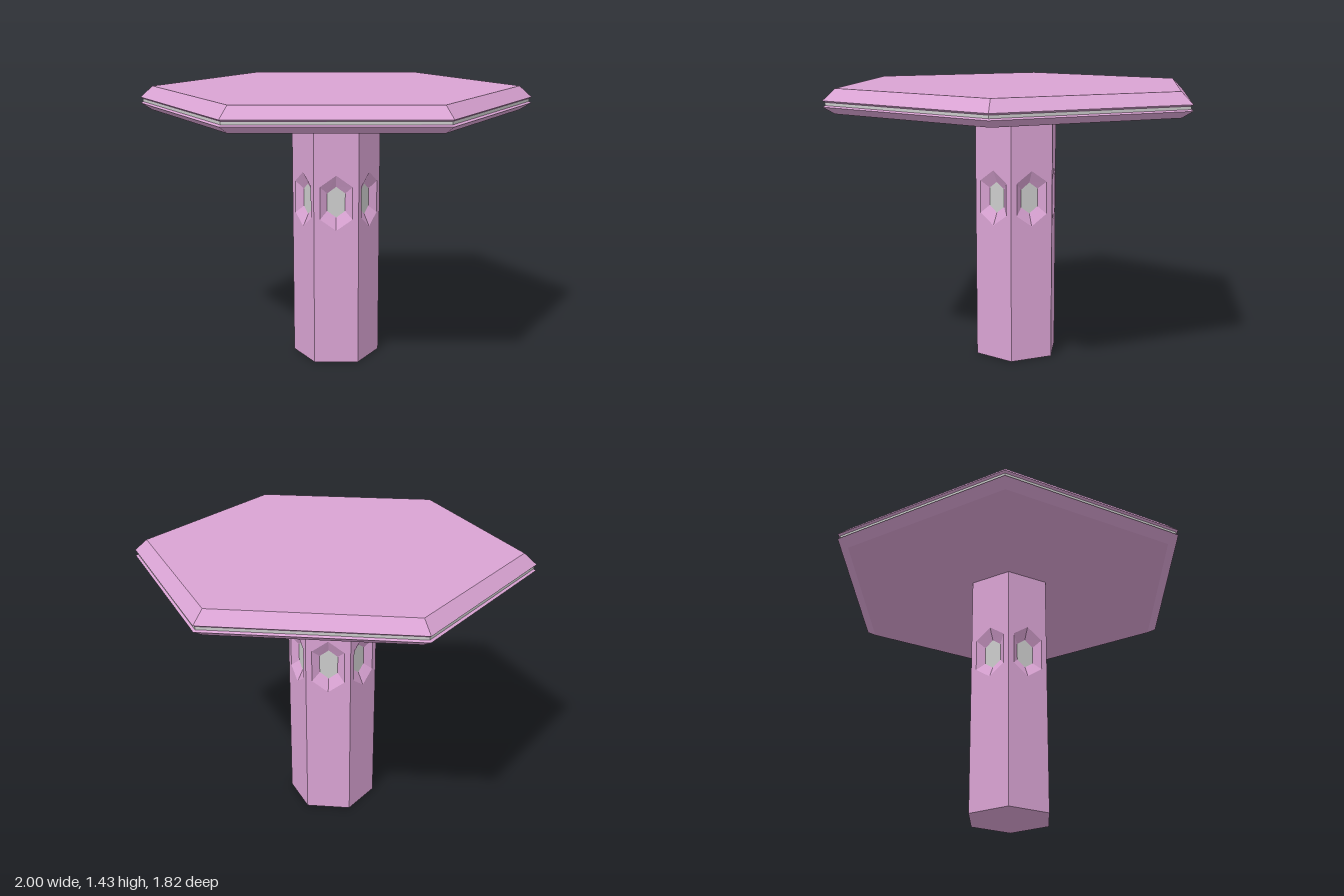
import * as THREE from 'three';

const TURN = THREE.MathUtils.degToRad(35); // corner direction of both hexagons
const LEG_R = 0.228, LEG_H = 1.31;
const APOTHEM = LEG_R * Math.cos(Math.PI / 6);

const paint = new THREE.MeshStandardMaterial({ color: 0xd9a3d3, flatShading: true, side: THREE.DoubleSide });
const grey = new THREE.MeshStandardMaterial({ color: 0xcccccc, flatShading: true, side: THREE.DoubleSide });

function part(name, geometry, material, parent) {
  const mesh = new THREE.Mesh(geometry, material);
  mesh.name = name;
  parent.add(mesh);
  return mesh;
}

// Six-sided solid from a [radius, height] profile, listed bottom to top
function hexLathe(profile) {
  return new THREE.LatheGeometry(profile.map(([r, y]) => new THREE.Vector2(r, y)), 6, TURN);
}

// Upright pointed hexagon, counter-clockwise: half width, corner height, tip height
function windowLoop(w, c, t, y = 0.857) {
  return [[w, -c], [w, c], [0, t], [-w, c], [-w, -c], [0, -t]].map(([a, b]) => new THREE.Vector2(a, y + b));
}

// Sloping walls joining two loops at different depths
function recessWalls(outer, inner, zOuter, zInner) {
  const pos = [];
  outer.forEach((a, i) => {
    const j = (i + 1) % outer.length, b = outer[j], c = inner[j], d = inner[i];
    pos.push(a.x, a.y, zOuter, b.x, b.y, zOuter, c.x, c.y, zInner);
    pos.push(a.x, a.y, zOuter, c.x, c.y, zInner, d.x, d.y, zInner);
  });
  const g = new THREE.BufferGeometry();
  g.setAttribute('position', new THREE.Float32BufferAttribute(pos, 3));
  g.computeVertexNormals();
  return g;
}

export function createModel() {
  const model = new THREE.Group();
  model.name = 'hexagonalTable';

  // Bevelled top with a shallow groove around its rim
  part('tableTop', hexLathe([
    [0, 1.308], [0.945, 1.308], [1.004, 1.343], [0.99, 1.35],
    [0.99, 1.365], [1.004, 1.373], [0.94, 1.43], [0, 1.43],
  ]), paint, model);
  part('rimStrip', hexLathe([[0.992, 1.351], [0.992, 1.364]]), grey, model);

  // Leg: six panels, each with a recessed window
  const leg = new THREE.Group();
  leg.name = 'leg';
  model.add(leg);

  const outer = windowLoop(0.083, 0.084, 0.143);
  const inner = windowLoop(0.046, 0.046, 0.08);
  const half = LEG_R / 2;
  const panel = new THREE.Shape([
    new THREE.Vector2(-half, 0), new THREE.Vector2(half, 0),
    new THREE.Vector2(half, LEG_H), new THREE.Vector2(-half, LEG_H),
  ]);
  panel.holes.push(new THREE.Path([...outer].reverse()));
  const panelGeo = new THREE.ShapeGeometry(panel).translate(0, 0, APOTHEM);
  const wallGeo = recessWalls(outer, inner, APOTHEM, APOTHEM - 0.03);
  const paneGeo = new THREE.ShapeGeometry(new THREE.Shape(inner)).translate(0, 0, APOTHEM - 0.03);

  for (let i = 0; i < 6; i++) {
    const side = new THREE.Group();
    side.name = 'legSide';
    side.rotation.y = THREE.MathUtils.degToRad(5 + 60 * i);
    part('legPanel', panelGeo, paint, side);
    part('windowRecess', wallGeo, paint, side);
    part('windowPane', paneGeo, grey, side);
    leg.add(side);
  }
  part('legBase', hexLathe([[0, 0], [LEG_R, 0]]), paint, leg);

  return model;
}
